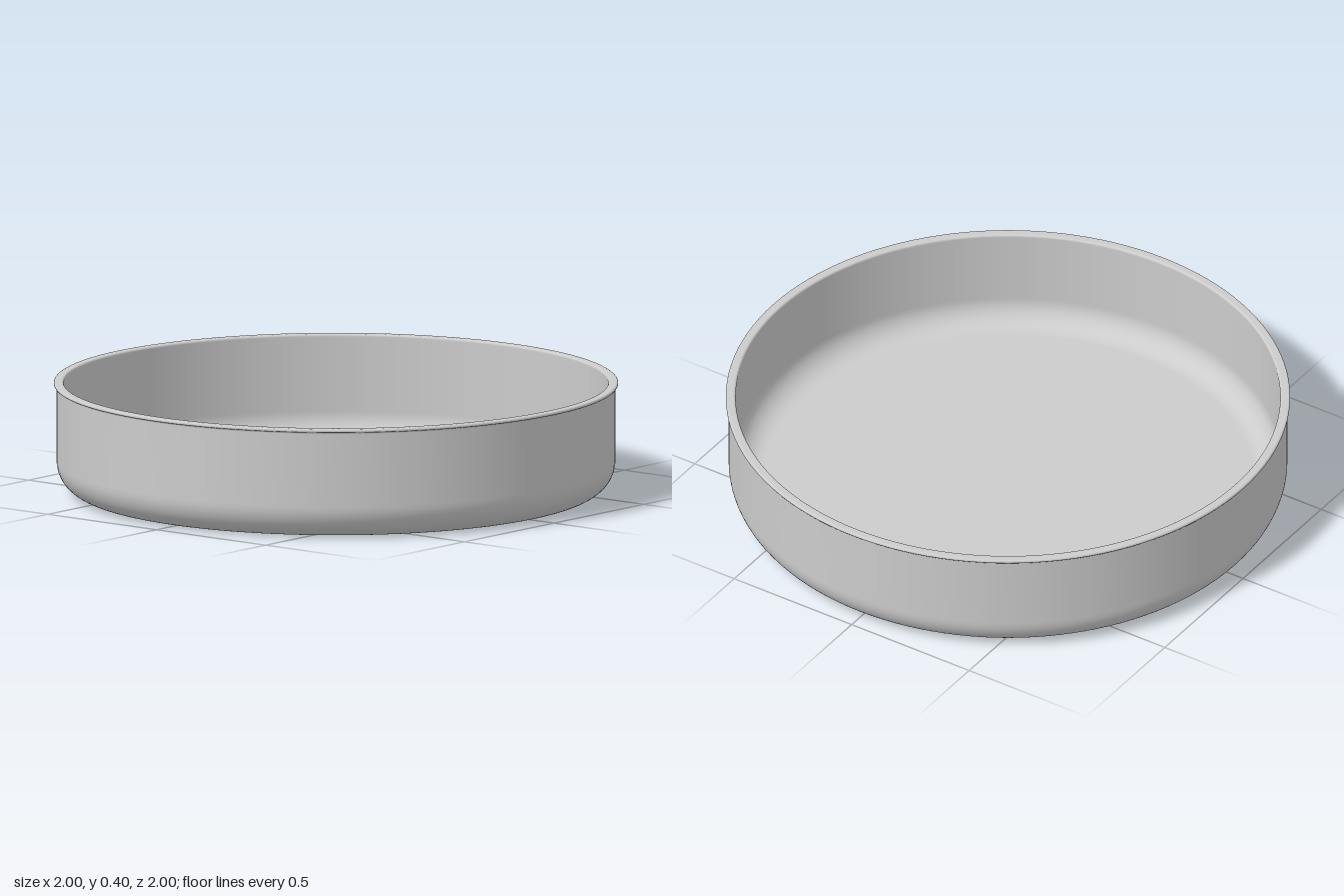
import * as THREE from 'three';

// Points along a rounded corner, angles in units of PI
function arc(cx, cy, r, from, to, steps) {
  const pts = [];
  for (let i = 0; i <= steps; i++) {
    const a = Math.PI * (from + (to - from) * i / steps);
    pts.push(new THREE.Vector2(cx + r * Math.cos(a), cy + r * Math.sin(a)));
  }
  return pts;
}

export function createModel() {
  const group = new THREE.Group();
  group.name = 'shallowDish';
  const v = (x, y) => new THREE.Vector2(x, y);

  // Closed wall section; extra points beside the corners keep the flats evenly shaded
  const profile = [
    v(0, 0), v(0.87, 0),
    ...arc(0.875, 0.115, 0.115, -0.5, 0, 16),   // outer base corner
    v(0.99, 0.12), v(0.99, 0.382), v(0.991, 0.386),
    ...arc(0.993, 0.393, 0.007, -0.25, 0.5, 8), // flared lip
    v(0.99, 0.4), v(0.976, 0.4),
    ...arc(0.973, 0.392, 0.008, 0.5, 1, 6),     // inner lip edge
    v(0.965, 0.388), v(0.965, 0.125),
    ...arc(0.875, 0.12, 0.09, 0, -0.5, 16),     // inner base corner
    v(0.87, 0.03), v(0, 0.03),
  ];

  const dish = new THREE.Mesh(
    new THREE.LatheGeometry(profile, 128),
    new THREE.MeshStandardMaterial({ color: 0xcccccc })
  );
  dish.name = 'dish';
  group.add(dish);
  return group;
}
